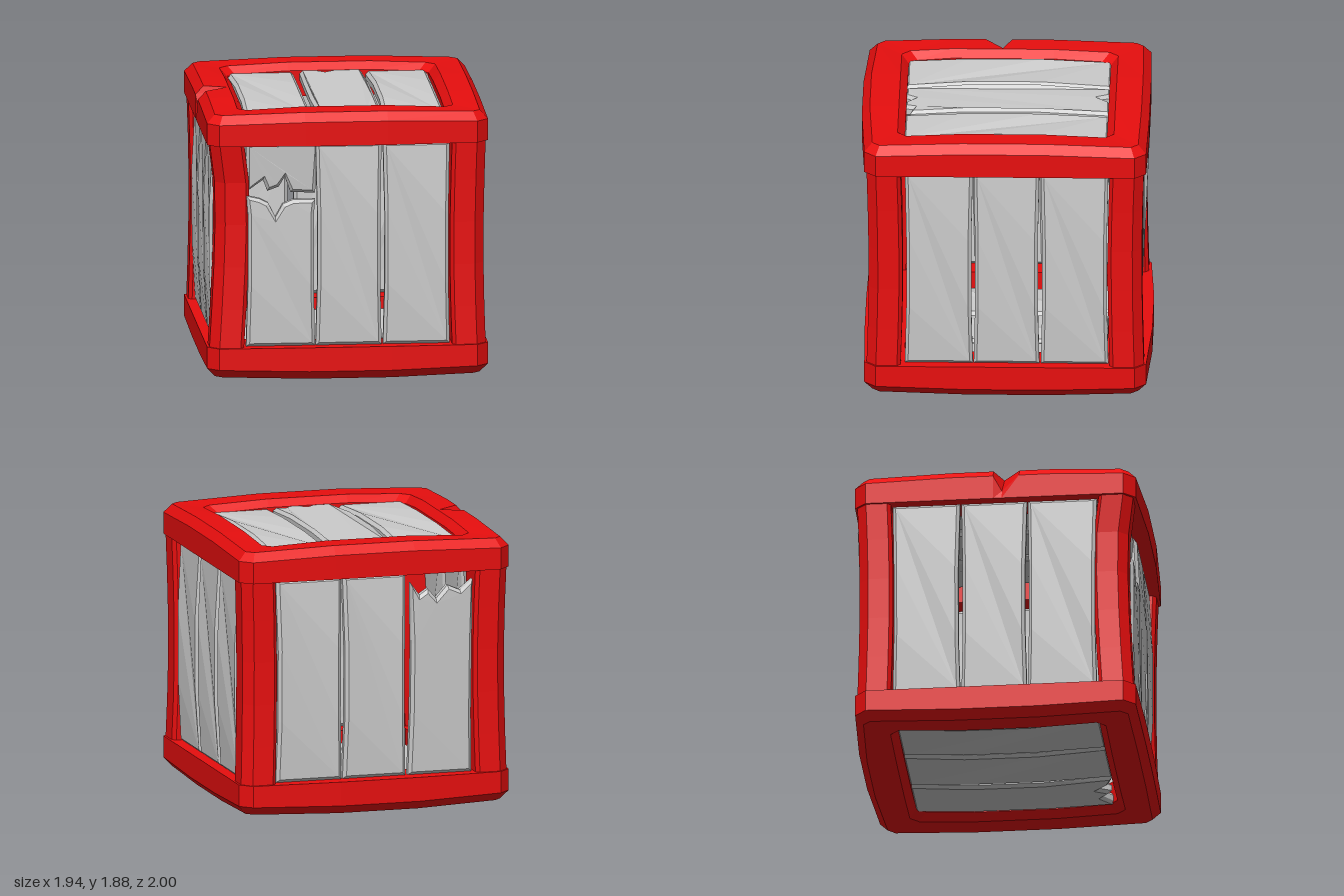
import * as THREE from 'three';

const red = new THREE.MeshStandardMaterial({ color: 0xe80e0e, flatShading: true });
const grey = new THREE.MeshStandardMaterial({ color: 0xcccccc, flatShading: true });
const MID = 0.94; // height of the crate's centre
const HALF = 0.71; // half length of a plank

function addMesh(parent, name, geometry, material) {
  const mesh = new THREE.Mesh(geometry, material);
  mesh.name = name;
  parent.add(mesh);
  return mesh;
}

// Square rim: a chamfered profile (half width, height, corner cut) swept round four sides
function rimGeometry(notched) {
  const profile = [
    [0.97, 1.65, 0.08], [0.97, 1.80, 0.08], [0.915, 1.86, 0.05],
    [0.745, 1.86, 0.06], [0.695, 1.81, 0.06], [0.695, 1.65, 0.06],
  ];
  const bulge = [0.03, 0, 0.01, 0];
  const stations = [];
  for (let k = 0; k < 4; k++) {
    const inner = notched && k === 3 ? [-0.3, -0.01, 0.05, 0.17, 0.4] : [-0.3, 0.27];
    for (const t of [-1, ...inner, 1]) stations.push([k, t]);
  }
  const positions = [];
  const index = [];
  profile.forEach(([h, y, cut], i) => {
    for (const [k, t] of stations) {
      const end = Math.abs(t) === 1;
      const along = end ? t * (h - cut) : t;
      let out = h + (!end && i < 3 ? bulge[k] : 0);
      let up = y + (!end && y > 1.7 ? 0.018 : 0);
      // split in the left rail
      if (notched && k === 3 && t === 0.05) {
        if (i === 1) { out = 0.95; up = 1.71; }
        if (i === 2) out = 0.76;
      }
      const s = Math.round(Math.sin(k * Math.PI / 2));
      const c = Math.round(Math.cos(k * Math.PI / 2));
      positions.push(s * out + c * along, up, c * out - s * along);
    }
  });
  const n = stations.length;
  for (let i = 0; i < profile.length; i++) {
    for (let j = 0; j < n; j++) {
      const a = i * n + j, b = i * n + (j + 1) % n;
      const i2 = (i + 1) % profile.length;
      const c = i2 * n + (j + 1) % n, d = i2 * n + j;
      index.push(a, b, c, a, c, d);
    }
  }
  const g = new THREE.BufferGeometry();
  g.setAttribute('position', new THREE.Float32BufferAttribute(positions, 3));
  g.setIndex(index);
  const flat = g.toNonIndexed();
  flat.computeVertexNormals();
  return flat;
}

// Corner post with chamfered edges, bowed towards the middle of the crate
function postGeometry(bow, peak) {
  const section = [[0.72, 0.72], [0.93, 0.72], [0.955, 0.745], [0.955, 0.89],
    [0.89, 0.955], [0.745, 0.955], [0.72, 0.93]];
  const shape = new THREE.Shape(section.map(p => new THREE.Vector2(...p)));
  const g = new THREE.ExtrudeGeometry(shape, { depth: 1.48, steps: 5, bevelEnabled: false });
  g.rotateX(-Math.PI / 2).translate(0, 0.2, 0);
  const p = g.attributes.position;
  for (let i = 0; i < p.count; i++) {
    const y = p.getY(i);
    const span = y < peak ? (y - 0.2) / (peak - 0.2) : (1.68 - y) / (1.68 - peak);
    const pull = bow * Math.sin(span * Math.PI / 2);
    p.setX(i, p.getX(i) - pull);
    p.setZ(i, p.getZ(i) + pull);
  }
  g.computeVertexNormals();
  return g;
}

// Bevelled plank; low and high ends run left to right and may be jagged
function plankGeometry(u0, u1, { low, high, lift } = {}) {
  low = low || [[u0, -HALF], [u1, -HALF]];
  high = high || [[u0, HALF], [u1, HALF]];
  const side = (u, dir, bottom, top) => [-0.28, 0.22]
    .filter(v => v > bottom + 0.05 && v < top - 0.05)
    .map(v => [u + dir * 0.01, v]);
  const outline = [
    ...low,
    ...side(u1, -1, low.at(-1)[1], high.at(-1)[1]),
    ...[...high].reverse(),
    ...side(u0, 1, low[0][1], high[0][1]).reverse(),
  ];
  const shape = new THREE.Shape(outline.map(p => new THREE.Vector2(...p)));
  const bevel = 0.022;
  const g = new THREE.ExtrudeGeometry(shape, {
    depth: 0.04, bevelSegments: 1, bevelThickness: bevel, bevelSize: bevel, bevelOffset: -bevel,
  });
  g.translate(0, 0, -0.04 - bevel);
  const p = g.attributes.position;
  for (let i = 0; i < p.count; i++) {
    const v = p.getY(i);
    p.setZ(i, p.getZ(i) + 0.03 * (1 - (v / HALF) ** 2) + (lift ? lift(v) : 0));
  }
  g.computeVertexNormals();
  return g;
}

// Panel: planks in a local plane, facing outwards along local z
function addPanel(parent, name, rotation, distance, planks) {
  const panel = new THREE.Group();
  panel.name = name;
  panel.position.y = MID;
  panel.rotation.set(...rotation);
  for (const [u0, u1, options] of planks) {
    addMesh(panel, 'plank', plankGeometry(u0, u1, options), grey).position.z = distance;
  }
  parent.add(panel);
}

export function createModel() {
  const crate = new THREE.Group();
  crate.name = 'woodenCrate';

  // Red frame: top rim, bottom rim turned over, four posts
  addMesh(crate, 'topRim', rimGeometry(true), red);
  addMesh(crate, 'bottomRim', rimGeometry(false).rotateX(Math.PI).translate(0, 1.88, 0), red);
  const posts = [[0.015, 1.0], [0.015, 1.0], [0.045, 1.25], [0.015, 0.9]];
  posts.forEach(([bow, peak], k) => {
    addMesh(crate, 'cornerPost', postGeometry(bow, peak), red).rotation.y = k * Math.PI / 2;
  });

  // Front: the first plank is snapped in two, its upper piece pushed in
  const quarter = Math.PI / 2;
  addPanel(crate, 'frontPanel', [0, 0, 0], 0.91, [
    [-0.70, -0.225, {
      high: [[-0.70, 0.35], [-0.61, 0.33], [-0.55, 0.30], [-0.50, 0.20],
        [-0.45, 0.29], [-0.38, 0.32], [-0.225, 0.32]],
    }],
    [-0.70, -0.20, {
      low: [[-0.69, 0.37], [-0.58, 0.45], [-0.55, 0.37], [-0.47, 0.40],
        [-0.43, 0.47], [-0.39, 0.36], [-0.22, 0.35]],
      lift: v => -0.02 - 0.15 * (HALF - v),
    }],
    [-0.22, 0.235],
    [0.245, 0.705],
  ]);

  // Sides: three whole planks each
  addPanel(crate, 'leftPanel', [0, quarter, 0], 0.91,
    [[-0.69, -0.223], [-0.217, 0.235], [0.245, 0.71]]);
  addPanel(crate, 'rightPanel', [0, -quarter, 0], 0.91,
    [[-0.71, -0.245], [-0.235, 0.217], [0.223, 0.70]]);

  // Back: the last plank is broken off short and bent outwards
  addPanel(crate, 'backPanel', [0, Math.PI, 0], 0.91, [
    [-0.705, -0.235],
    [-0.225, 0.225],
    [0.245, 0.70, {
      high: [[0.245, 0.65], [0.31, 0.56], [0.37, 0.60], [0.43, 0.53],
        [0.51, 0.62], [0.60, 0.58], [0.69, 0.65]],
      lift: v => 0.09 * Math.max(0, v),
    }],
  ]);

  // Top: the middle plank is splintered at both ends and slightly raised
  addPanel(crate, 'topPanel', [-quarter, 0, 0], 0.875, [
    [-0.69, -0.23],
    [-0.215, 0.255, {
      low: [[-0.18, -0.71], [-0.04, -0.71], [0.01, -0.65], [0.06, -0.71],
        [0.14, -0.71], [0.17, -0.65], [0.25, -0.67]],
      high: [[-0.19, HALF], [-0.07, HALF], [-0.02, 0.63], [0.04, HALF], [0.24, HALF]],
      lift: () => 0.012,
    }],
    [0.265, 0.69],
  ]);

  // Bottom: the plank at the crate's left has a splintered front end
  addPanel(crate, 'bottomPanel', [quarter, 0, 0], 0.875, [
    [-0.69, -0.23],
    [-0.22, 0.25],
    [0.27, 0.69, {
      high: [[0.27, 0.70], [0.38, 0.66], [0.44, 0.58], [0.50, 0.67], [0.57, 0.60], [0.69, 0.68]],
    }],
  ]);
  return crate;
}
